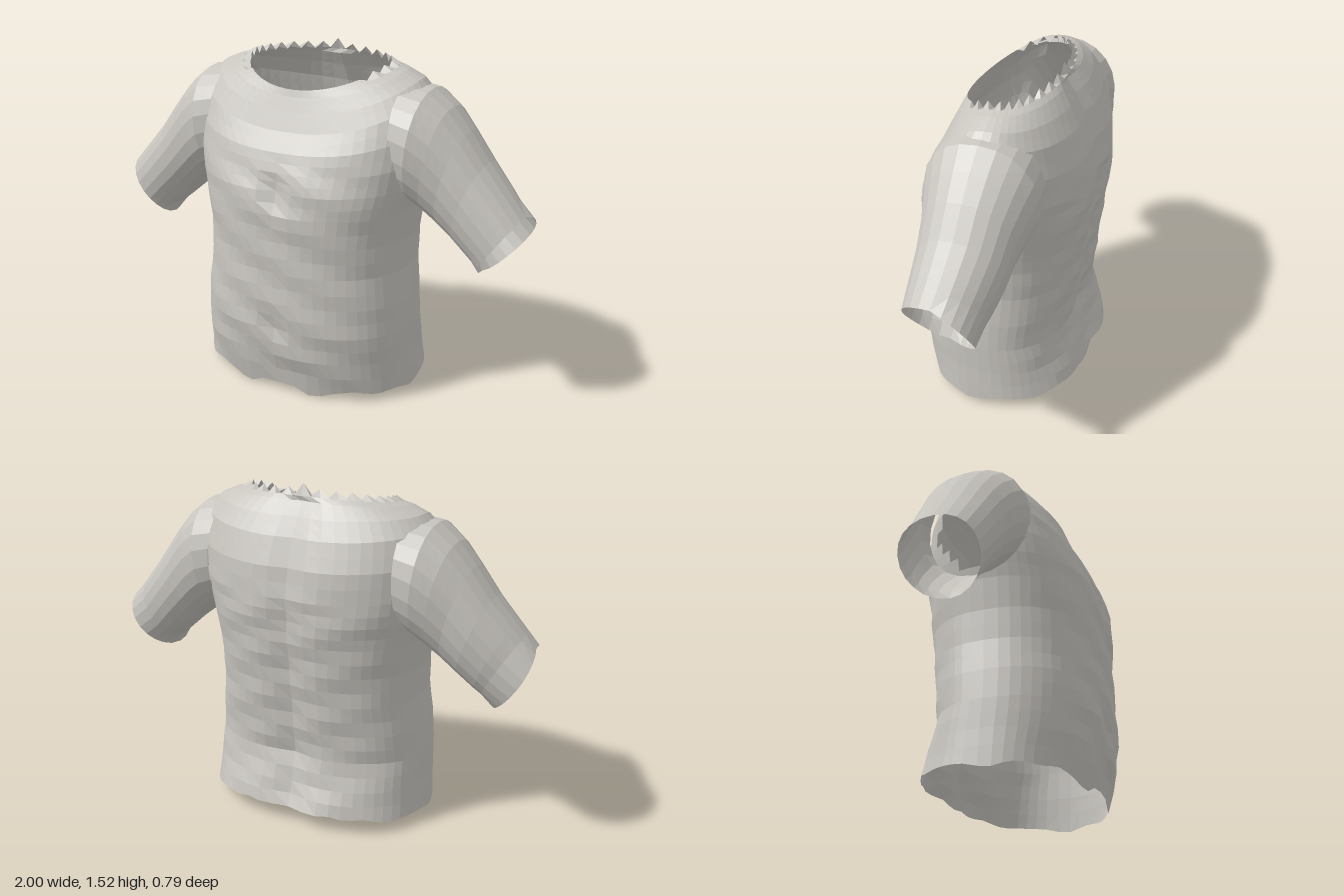
import * as THREE from 'three';

const cloth = new THREE.MeshStandardMaterial({ color: 0xc8c5bf, side: THREE.DoubleSide });
cloth.name = 'pale grey cloth';
cloth.flatShading = true;

// Closed rings of points joined into an open tube; keep() can leave faces out
function loft(rings, keep = () => true) {
  const n = rings[0].length, index = [];
  for (let r = 0; r < rings.length - 1; r++) {
    for (let c = 0; c < n; c++) {
      const d = (c + 1) % n;
      const centre = rings[r][c].clone().add(rings[r + 1][d]).multiplyScalar(0.5);
      if (!keep(centre)) continue;
      const a = r * n + c, b = r * n + d;
      index.push(a, b, a + n, b, b + n, a + n);
    }
  }
  const g = new THREE.BufferGeometry().setFromPoints(rings.flat());
  g.setIndex(index);
  g.computeVertexNormals();
  return g;
}

// Linear subdivision of a table of cross-sections
function subdivide(rows, steps) {
  const out = [];
  for (let i = 0; i < rows.length - 1; i++)
    for (let s = 0; s < steps; s++)
      out.push(rows[i].map((v, k) => THREE.MathUtils.lerp(v, rows[i + 1][k], s / steps)));
  out.push(rows[rows.length - 1]);
  return out;
}

const bump = (v, mid, width) => Math.exp(-(((v - mid) / width) ** 2));
const power = (v, p) => Math.sign(v) * Math.abs(v) ** p;

// Torso: height at front, side, back; half width; z at front, back, side; squareness
const torsoRows = [
  [1.37, 1.475, 1.50, 0.34, 0.20, -0.20, -0.05, 2.0],
  [1.34, 1.455, 1.46, 0.42, 0.21, -0.24, -0.04, 2.1],
  [1.28, 1.425, 1.40, 0.49, 0.235, -0.28, -0.04, 2.2],
  [1.20, 1.37, 1.32, 0.54, 0.27, -0.325, -0.03, 2.3],
  [1.12, 1.24, 1.20, 0.55, 0.32, -0.37, -0.02, 2.4],
  [1.04, 1.10, 1.07, 0.54, 0.352, -0.39, 0, 2.4],
  [0.96, 0.99, 0.97, 0.525, 0.38, -0.388, 0, 2.4],
  [0.86, 0.88, 0.87, 0.498, 0.395, -0.38, 0, 2.4],
  [0.74, 0.74, 0.74, 0.48, 0.39, -0.365, 0, 2.4],
  [0.60, 0.60, 0.60, 0.478, 0.392, -0.35, 0, 2.4],
  [0.46, 0.46, 0.46, 0.495, 0.397, -0.335, 0.01, 2.4],
  [0.33, 0.33, 0.33, 0.505, 0.40, -0.32, 0.01, 2.4],
  [0.20, 0.20, 0.20, 0.51, 0.385, -0.355, 0, 2.4],
  [0.05, 0.055, 0.09, 0.52, 0.345, -0.395, 0, 2.4],
];
const COLS = 56;

function torsoRings() {
  const rows = subdivide(torsoRows, 2);
  return rows.map(([yF, yS, yB, w, zF, zB, zS, n], r) =>
    Array.from({ length: COLS }, (_, c) => {
      const a = (c / COLS) * Math.PI * 2, s = Math.sin(a), co = Math.cos(a);
      const x = w * power(co, 2 / n);
      let y = yS + ((s > 0 ? yF : yB) - yS) * Math.abs(s) ** 1.5;
      let z = zS + ((s > 0 ? zF : zB) - zS) * Math.abs(s) ** (2 / n);
      // Chest hollow, navel, spine groove and soft folds
      if (s > 0.5) z -= 0.028 * bump(x, 0, 0.06) * (bump(y, 0.94, 0.09) + 0.7 * bump(y, 0.33, 0.06));
      if (s < -0.5) z += 0.025 * bump(x, 0, 0.08) * (r > 1 ? 1 : 0);
      if (r > 9) z += 0.005 * Math.sin(x * 13 + y * 31) * s;
      // Ragged collar and uneven hem
      if (r === 0 && s < 0.55) y += (c % 2 ? -0.022 : 0.012) + 0.02 * bump(x, 0, 0.04) * (s < 0 ? 1 : 0);
      if (r === rows.length - 1) {
        if (s > 0) y -= 0.045 * bump(Math.abs(x), 0.18, 0.06);
        y -= 0.025 * bump(z, 0.04, 0.07);
        y += 0.006 * Math.sin(Math.abs(x) * 40);
      }
      return new THREE.Vector3(x, y, z);
    }));
}

// Sleeve: top x, y; bottom x, y; z at front and back
const sleeveRows = [
  [0.44, 1.41, 0.45, 0.93, 0.20, -0.28],
  [0.55, 1.395, 0.50, 0.90, 0.21, -0.285],
  [0.64, 1.325, 0.55, 0.865, 0.185, -0.265],
  [0.72, 1.23, 0.61, 0.82, 0.165, -0.24],
  [0.81, 1.11, 0.68, 0.765, 0.155, -0.225],
  [0.90, 1.005, 0.75, 0.705, 0.152, -0.20],
  [0.985, 0.905, 0.81, 0.655, 0.15, -0.17],
];

function sleeveRings(side) {
  const rows = subdivide(sleeveRows, 2), count = 22;
  return rows.map(([tx, ty, bx, by, zF, zB], r) =>
    Array.from({ length: count }, (_, i) => {
      const a = (-side * i / count) * Math.PI * 2;
      const u = power(Math.cos(a), 0.92), v = power(Math.sin(a), 0.92);
      let x = (tx + bx) / 2 + u * (tx - bx) / 2;
      let y = (ty + by) / 2 + u * (ty - by) / 2;
      const z = (zF + zB) / 2 + v * (zF - zB) / 2;
      // The cuff reaches further out behind and dips underneath
      if (r === rows.length - 1) {
        x += 0.05 * Math.max(0, -v);
        y -= 0.025 * Math.max(0, -u) ** 4 + 0.03 * Math.max(0, -v);
        if (x > 1) x = 1;
      }
      return new THREE.Vector3(side * x, y, z);
    }));
}

export function createModel() {
  const group = new THREE.Group();
  group.name = 'shirt';

  // Body, left open where the arms pass through
  const outsideArmhole = (p) =>
    Math.abs(p.x) < 0.46 || ((p.y - 1.15) / 0.2) ** 2 + ((p.z + 0.035) / 0.18) ** 2 > 1;
  const body = new THREE.Mesh(loft(torsoRings(), outsideArmhole), cloth);
  body.name = 'body';
  group.add(body);

  // Sleeves
  for (const side of [1, -1]) {
    const sleeve = new THREE.Mesh(loft(sleeveRings(side)), cloth);
    sleeve.name = side > 0 ? 'leftSleeve' : 'rightSleeve';
    group.add(sleeve);
  }
  return group;
}
